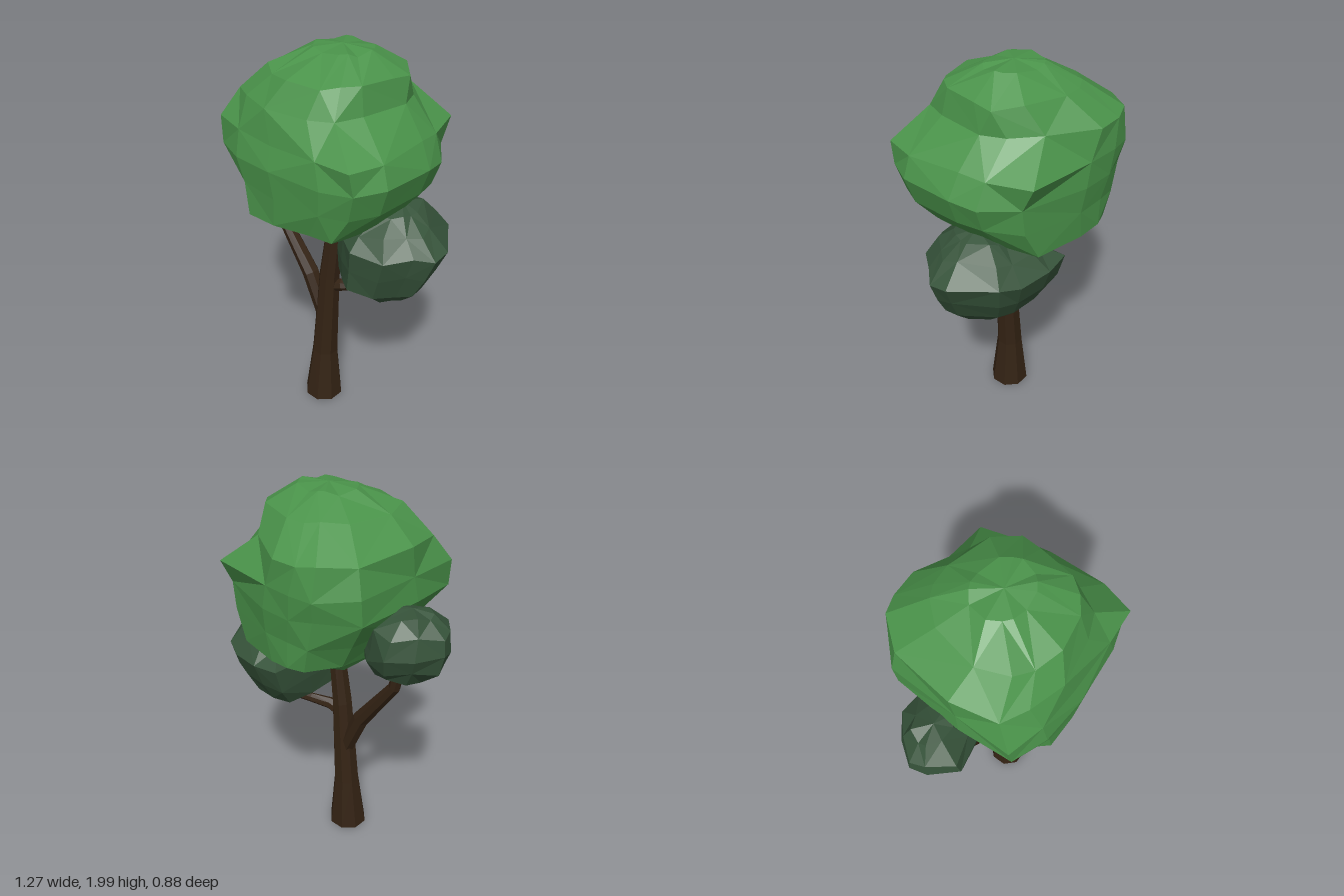
import * as THREE from 'three';

const V = (x, y, z) => new THREE.Vector3(x, y, z);

function seeded(seed) {
  let s = seed;
  return () => {
    s = (s * 16807) % 2147483647;
    return s / 2147483647 - 0.5;
  };
}

// Skin a list of rings (equal point counts) and close both ends on a centre point
function loft(rings, bottom, top) {
  const pos = [];
  const tri = (...pts) => pts.forEach((p) => pos.push(p.x, p.y, p.z));
  const n = rings[0].length;
  for (let i = 0; i < n; i++) {
    const k = (i + 1) % n;
    tri(bottom, rings[0][i], rings[0][k]);
    tri(top, rings.at(-1)[k], rings.at(-1)[i]);
    for (let j = 0; j < rings.length - 1; j++) {
      const a = rings[j][i], b = rings[j][k], c = rings[j + 1][k], d = rings[j + 1][i];
      if ((i + j) % 2) { tri(a, d, c); tri(a, c, b); }
      else { tri(a, d, b); tri(d, c, b); }
    }
  }
  const geo = new THREE.BufferGeometry();
  geo.setAttribute('position', new THREE.Float32BufferAttribute(pos, 3));
  geo.computeVertexNormals();
  return geo;
}

// Tapered faceted limb along points [x, y, z, radius]
function limb(points, sides) {
  const c = points.map((p) => V(p[0], p[1], p[2]));
  const rings = c.map((p, i) => {
    const t = c[Math.min(i + 1, c.length - 1)].clone().sub(c[Math.max(i - 1, 0)]).normalize();
    if (i === 0 && p.y === 0) t.set(0, 1, 0);
    const u = t.clone().cross(V(0, 0, 1)).normalize();
    const v = u.clone().cross(t);
    return Array.from({ length: sides }, (_, k) => {
      const a = ((k + 0.5) / sides) * Math.PI * 2;
      return p.clone().addScaledVector(u, Math.cos(a) * points[i][3])
        .addScaledVector(v, Math.sin(a) * points[i][3]);
    });
  });
  return loft(rings, c[0], c.at(-1));
}

// Leaf mass: outline (unit square) fitted into rows [y, xMin, xMax, zMin, zMax, squareness];
// crags [row, point, scale] push single corners in or out
function foliage({ outline, rows, bottom, top, jitter, seed, crags }) {
  const rnd = seeded(seed);
  const rings = rows.map(([y, x0, x1, z0, z1, sq], r) => outline.map(([ox, oz], i) => {
    const l = Math.hypot(ox, oz);
    const x = THREE.MathUtils.lerp(ox / l, ox, sq);
    const z = THREE.MathUtils.lerp(oz / l, oz, sq);
    const crag = crags.find((c) => c[0] === r && c[1] === i);
    const pull = (crag ? crag[2] : 1) * (1 + rnd() * jitter);
    return V(
      (x0 + x1) / 2 + x * pull * (x1 - x0) / 2,
      y + rnd() * jitter * 0.5,
      (z0 + z1) / 2 + z * pull * (z1 - z0) / 2,
    );
  }));
  return loft(rings, V(...bottom), V(...top));
}

export function createModel() {
  const tree = new THREE.Group();
  tree.name = 'tree';
  const material = (color) => new THREE.MeshStandardMaterial({ color, flatShading: true });
  const bark = material(0x342314);
  const leaf = material(0x4a934a);
  const darkLeaf = material(0x36533a);
  const add = (name, geo, mat) => {
    const mesh = new THREE.Mesh(geo, mat);
    mesh.name = name;
    tree.add(mesh);
  };

  // Trunk and two bent branches
  add('trunk', limb([
    [0, 0, 0.088, 0.104], [0.005, 0.3, 0.08, 0.07], [0.035, 0.8, 0.075, 0.054], [0.09, 1.25, 0.07, 0.038],
  ], 8), bark);
  add('rightBranch', limb([
    [0.015, 0.5, 0.075, 0.045], [-0.1, 0.75, 0.075, 0.045], [-0.31, 1.03, 0.075, 0.032], [-0.36, 1.25, 0.07, 0.027],
  ], 7), bark);
  add('leftBranch', limb([
    [0.03, 0.73, 0.075, 0.036], [0.11, 0.76, 0.06, 0.032], [0.2, 0.78, 0.01, 0.025], [0.34, 0.79, -0.04, 0.02],
  ], 7), bark);

  // Main crown: boxy plan with one cut corner, craggy at the others
  add('crown', foliage({
    outline: [
      [1, -0.1], [1, 0.55], [0.87, 0.9], [0.5, 0.96], [-0.1, 1], [-0.6, 0.97], [-1, 0.85], [-0.99, 0.2],
      [-0.94, -0.6], [-0.62, -0.95], [-0.36, -1], [0, -0.98], [0.78, -0.86], [0.94, -0.4],
    ],
    rows: [
      [1.13, -0.15, 0.24, -0.18, 0.24, 0.2],
      [1.24, -0.27, 0.37, -0.4, 0.42, 0.8],
      [1.38, -0.34, 0.49, -0.41, 0.43, 0.9],
      [1.51, -0.4, 0.53, -0.42, 0.44, 1],
      [1.63, -0.4, 0.48, -0.43, 0.42, 1],
      [1.77, -0.4, 0.36, -0.43, 0.38, 0.4],
      [1.89, -0.25, 0.33, -0.28, 0.31, 0.2],
      [1.975, -0.1, 0.2, -0.13, 0.12, 0],
    ],
    crags: [
      [1, 5, 1.05], [1, 6, 0.95], [2, 6, 0.75], [3, 6, 0.96], [2, 2, 0.93], [3, 2, 0.93], [4, 2, 1.04],
      [2, 12, 0.94], [3, 12, 0.87], [4, 12, 1.02], [5, 12, 0.85], [5, 13, 0.94], [6, 13, 1.12],
    ],
    bottom: [0.06, 1.07, 0.02], top: [0.05, 1.99, 0], jitter: 0.045, seed: 11,
  }), leaf);

  // Small leaf masses at the branch ends
  add('leftFoliage', foliage({
    outline: [
      [1, 0.25], [0.75, 0.5], [0.4, 0.85], [-0.2, 1], [-0.6, 0.8], [-0.95, 0.5],
      [-1, -0.2], [-1, -0.9], [-0.5, -0.95], [0.11, -0.88], [0.49, -0.74], [0.98, -0.07],
    ],
    rows: [
      [0.81, 0.2, 0.45, -0.15, 0.1, 0],
      [0.89, 0.11, 0.53, -0.26, 0.21, 1],
      [1.0, 0.1, 0.59, -0.32, 0.23, 1],
      [1.12, 0.1, 0.635, -0.36, 0.24, 1],
      [1.2, 0.16, 0.55, -0.28, 0.18, 0.9],
      [1.275, 0.28, 0.46, -0.18, 0.08, 0],
    ],
    crags: [[1, 7, 0.9], [4, 11, 0.92], [4, 7, 0.9]],
    bottom: [0.33, 0.775, -0.03], top: [0.38, 1.31, -0.05], jitter: 0.06, seed: 23,
  }), darkLeaf);
  add('rightFoliage', foliage({
    outline: [
      [1, 0], [0.85, 0.5], [0.4, 0.85], [-0.4, 1], [-0.9, 0.42],
      [-1, 0], [-0.6, -0.55], [-0.1, -1], [0.5, -0.9], [0.85, -0.5],
    ],
    rows: [
      [1.185, -0.52, -0.25, -0.1, 0.1, 0],
      [1.26, -0.61, -0.22, -0.17, 0.17, 1],
      [1.35, -0.64, -0.23, -0.2, 0.19, 1],
      [1.44, -0.63, -0.27, -0.17, 0.17, 1],
      [1.51, -0.55, -0.35, -0.09, 0.08, 0],
    ],
    crags: [[2, 8, 0.9], [3, 2, 0.9]],
    bottom: [-0.38, 1.165, 0], top: [-0.45, 1.53, 0], jitter: 0.06, seed: 37,
  }), darkLeaf);

  return tree;
}
